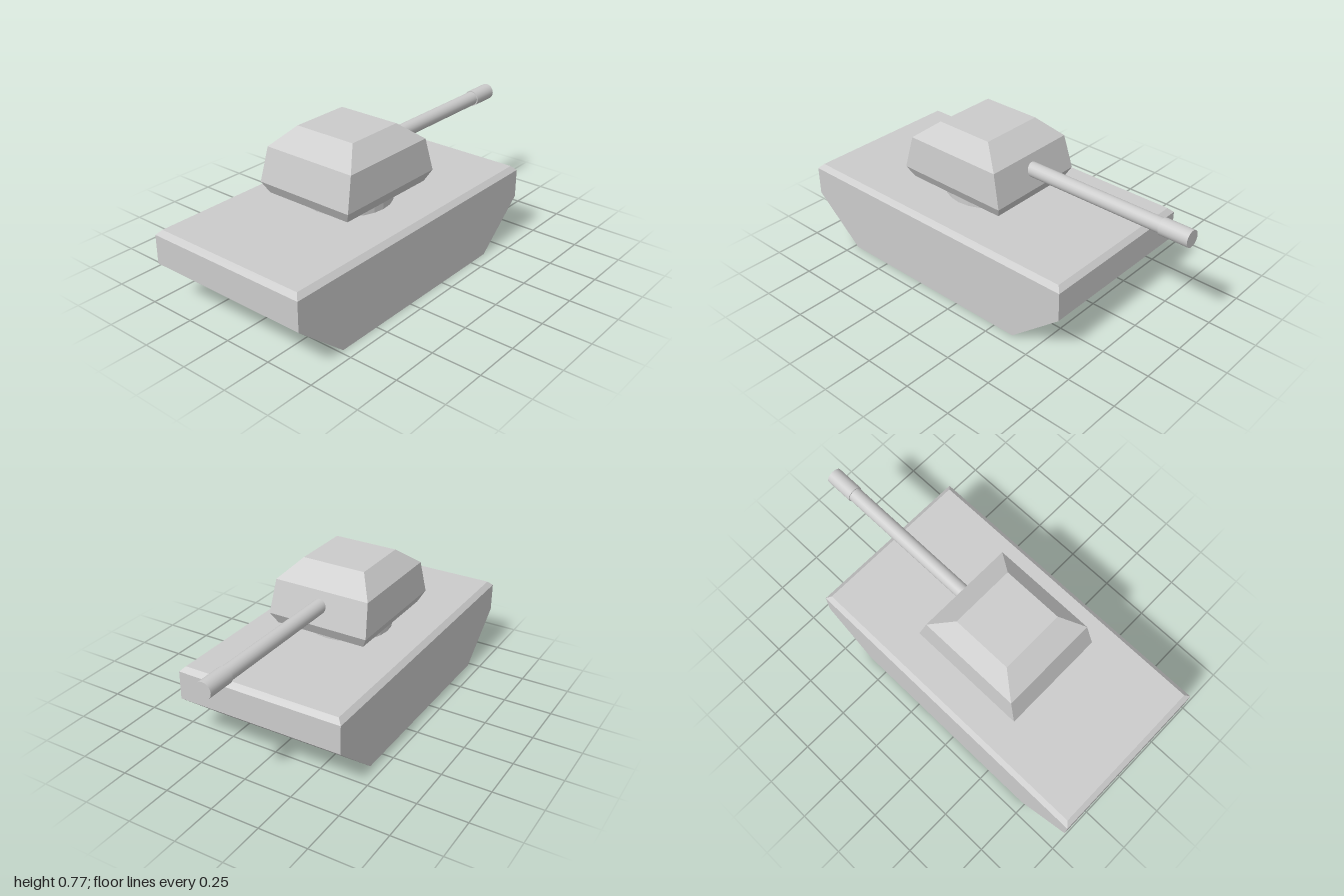
import * as THREE from 'three';

const material = new THREE.MeshStandardMaterial({ color: 0xcccccc, flatShading: true });
const smooth = new THREE.MeshStandardMaterial({ color: 0xcccccc });

// Closed solid lofted through rectangles, bottom to top: [y, xMin, xMax, halfDepth]
function loft(levels) {
  const pos = [];
  const rings = levels.map(([y, x0, x1, z]) => [[x0, y, z], [x1, y, z], [x1, y, -z], [x0, y, -z]]);
  const quad = (a, b, c, d) => pos.push(...a, ...b, ...c, ...a, ...c, ...d);
  for (let i = 0; i < rings.length - 1; i++) {
    for (let k = 0; k < 4; k++) {
      const n = (k + 1) % 4;
      quad(rings[i][k], rings[i][n], rings[i + 1][n], rings[i + 1][k]);
    }
  }
  const [p, q, r, s] = rings[0];
  quad(s, r, q, p);
  quad(...rings[rings.length - 1]);
  const geometry = new THREE.BufferGeometry();
  geometry.setAttribute('position', new THREE.Float32BufferAttribute(pos, 3));
  geometry.computeVertexNormals();
  return geometry;
}

export function createModel() {
  const group = new THREE.Group();
  const add = (name, geometry, mat = material) => {
    const mesh = new THREE.Mesh(geometry, mat);
    mesh.name = name;
    group.add(mesh);
    return mesh;
  };

  // Hull with sloped ends and a chamfered deck edge
  add('hull', loft([
    [0, -0.73, 0.365, 0.44],
    [0.23, -1, 0.637, 0.44],
    [0.378, -1, 0.637, 0.44],
    [0.402, -0.976, 0.613, 0.416],
  ]));

  // Ring the turret turns on
  add('turretRing', new THREE.CylinderGeometry(0.22, 0.22, 0.07, 24))
    .position.set(-0.182, 0.425, 0);

  // Faceted turret
  add('turret', loft([
    [0.452, -0.465, 0.1, 0.241],
    [0.51, -0.495, 0.13, 0.271],
    [0.681, -0.454, 0.088, 0.255],
    [0.773, -0.34, -0.027, 0.168],
  ]));

  // Gun barrel with a slightly thicker muzzle, lying along +x
  const tube = (name, radius, x0, x1) => {
    const mesh = add(name, new THREE.CylinderGeometry(radius, radius, x1 - x0, 24), smooth);
    mesh.rotation.z = -Math.PI / 2;
    mesh.position.set((x0 + x1) / 2, 0.605, 0);
  };
  tube('barrel', 0.037, 0.02, 0.9);
  tube('muzzle', 0.042, 0.85, 1);

  return group;
}
